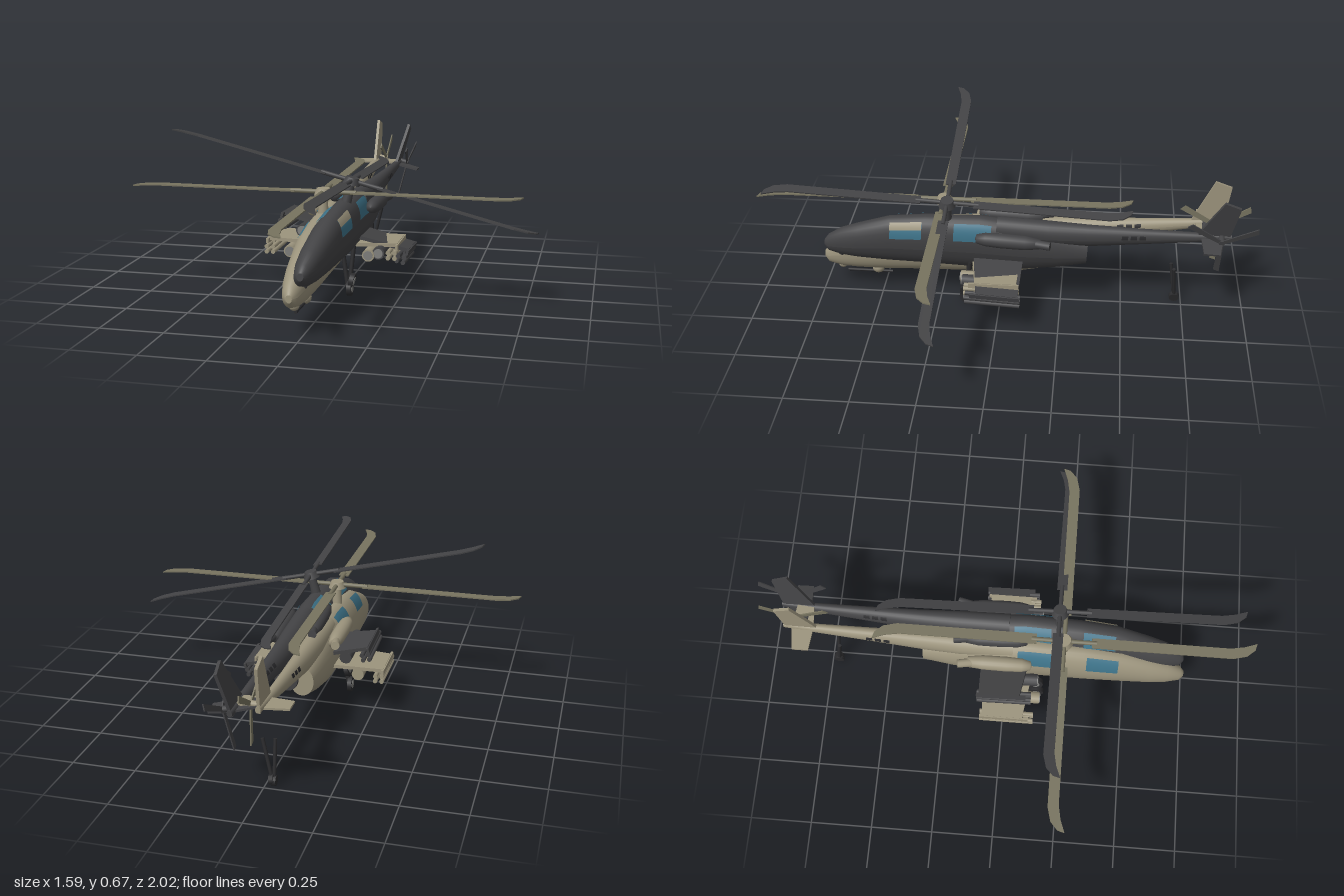
import * as THREE from 'three';

const mat = (name, color) => {
  const m = new THREE.MeshStandardMaterial({ color });
  m.name = name;
  return m;
};
const M = {
  tan: mat('tan paint', 0x9c947d),
  tanBlade: mat('olive blades', 0x77735f),
  dark: mat('charcoal paint', 0x434345),
  darkBlade: mat('charcoal blades', 0x424244),
  glass: mat('blue glass', 0x3d7288),
  black: mat('black rubber', 0x2b2b2d),
  grey: mat('grey metal', 0x7c7c7a),
};

// Hull stations: z, bottom, top, half width
const BODY = [
  [0.742, 0.14, 0.17, 0.012], [0.725, 0.118, 0.198, 0.028], [0.67, 0.104, 0.24, 0.043],
  [0.6, 0.1, 0.272, 0.053], [0.47, 0.1, 0.327, 0.063], [0.32, 0.107, 0.352, 0.07],
  [0.1, 0.11, 0.372, 0.071], [-0.08, 0.12, 0.36, 0.068], [-0.22, 0.15, 0.335, 0.06],
  [-0.34, 0.185, 0.305, 0.047],
];
const BOOM = [
  [0.03, 0.27, 0.376, 0.045], [-0.18, 0.27, 0.378, 0.044], [-0.34, 0.28, 0.379, 0.036],
  [-0.55, 0.315, 0.386, 0.026], [-0.76, 0.352, 0.395, 0.018], [-0.9, 0.375, 0.4, 0.01],
];

// Skin through elliptical stations, over an angle range
function loft(stations, a0 = 0, a1 = Math.PI * 2, off = 0, caps = true, n = 28) {
  const pos = [], idx = [];
  const ring = ([z, b, t, w]) => {
    for (let j = 0; j <= n; j++) {
      const a = a0 + ((a1 - a0) * j) / n;
      pos.push((w + off) * Math.cos(a), (b + t) / 2 + ((t - b) / 2 + off) * Math.sin(a), z);
    }
  };
  stations.forEach(ring);
  for (let i = 0; i < stations.length - 1; i++) {
    for (let j = 0; j < n; j++) {
      const a = i * (n + 1) + j, c = a + n + 1;
      idx.push(a, c, a + 1, a + 1, c, c + 1);
    }
  }
  if (caps) {
    for (const [s, front] of [[stations[0], true], [stations[stations.length - 1], false]]) {
      const base = pos.length / 3;
      ring(s);
      pos.push(0, (s[1] + s[2]) / 2, s[0]);
      for (let j = 0; j < n; j++) {
        idx.push(base + n + 1, base + j + (front ? 0 : 1), base + j + (front ? 1 : 0));
      }
    }
  }
  const g = new THREE.BufferGeometry();
  g.setAttribute('position', new THREE.Float32BufferAttribute(pos, 3));
  g.setIndex(idx);
  g.computeVertexNormals();
  return g;
}

// Thin panel following a hull between two z values and two angles in degrees
function panel(hull, z0, z1, d0, d1) {
  const at = (z) => {
    const i = Math.max(1, hull.findIndex((s) => s[0] <= z));
    const f = (hull[i - 1][0] - z) / (hull[i - 1][0] - hull[i][0]);
    return hull[i].map((v, k) => hull[i - 1][k] + (v - hull[i - 1][k]) * f);
  };
  const mid = hull.filter((s) => s[0] < z0 && s[0] > z1);
  const r = Math.PI / 180;
  return loft([at(z0), ...mid, at(z1)], d0 * r, d1 * r, 0.004, false, 8);
}

function add(parent, name, geo, material, x = 0, y = 0, z = 0) {
  const m = new THREE.Mesh(geo, material);
  m.name = name;
  m.position.set(x, y, z);
  parent.add(m);
  return m;
}

// Rod between two points
function rod(parent, name, a, b, r, material) {
  const p = new THREE.Vector3(...a), q = new THREE.Vector3(...b);
  const d = q.clone().sub(p);
  const m = add(parent, name, new THREE.CylinderGeometry(r, r, d.length(), 12), material);
  m.position.copy(p).addScaledVector(d, 0.5);
  m.quaternion.setFromUnitVectors(new THREE.Vector3(0, 1, 0), d.normalize());
  return m;
}

// Flat plate from an outline, centred on its thickness
function plate(points, depth) {
  const s = new THREE.Shape(points.map((p) => new THREE.Vector2(...p)));
  return new THREE.ExtrudeGeometry(s, { depth, bevelEnabled: false }).translate(0, 0, -depth / 2);
}
// Outline given as (z, y) standing in the side plane
const sidePlate = (points, depth) => plate(points, depth).rotateY(-Math.PI / 2);
// Outline given as (x, z) lying flat
const flatPlate = (points, depth) => plate(points, depth).rotateX(Math.PI / 2);

const ENGINE = [[0, 0.14], [0.018, 0.135], [0.027, 0.1], [0.03, 0.04], [0.029, -0.06], [0.02, -0.12], [0, -0.12]]
  .map(([r, y]) => new THREE.Vector2(r, y)).reverse();

function helicopter(name, paint, bladePaint, rotorScale) {
  const g = new THREE.Group();
  g.name = name;
  add(g, 'fuselage', loft(BODY), paint);
  add(g, 'tailBoom', loft(BOOM), paint);

  // Canopy glass and boom vents on both sides
  for (const [a, b] of [[26, 66], [114, 154]]) {
    add(g, 'frontWindow', panel(BODY, 0.46, 0.33, a, b), M.glass);
    add(g, 'rearWindow', panel(BODY, 0.2, 0.05, a, b), M.glass);
  }
  for (let i = 0; i < 3; i++) {
    const z = -0.47 - i * 0.035;
    add(g, 'vent', panel(BOOM, z, z - 0.025, 10, 35), M.black);
    add(g, 'vent', panel(BOOM, z, z - 0.025, 145, 170), M.black);
  }

  // Main rotor
  const rotor = new THREE.Group();
  rotor.name = 'mainRotor';
  rotor.position.set(0, 0.44, 0.232);
  rotor.scale.set(rotorScale, 1, rotorScale);
  g.add(rotor);
  add(rotor, 'mast', new THREE.CylinderGeometry(0.015, 0.022, 0.1, 16), paint, 0, -0.05, 0);
  add(rotor, 'hub', new THREE.CylinderGeometry(0.026, 0.036, 0.028, 20), paint);
  const blade = flatPlate([[-0.022, 0.11], [0.02, 0.11], [0.02, 0.66], [0.03, 0.715], [0.048, 0.765],
    [0.02, 0.757], [-0.008, 0.725], [-0.022, 0.67]], 0.005);
  for (let i = 0; i < 4; i++) {
    const arm = new THREE.Group();
    arm.name = 'bladeArm';
    arm.rotation.y = (i * Math.PI) / 2;
    rotor.add(arm);
    add(arm, 'blade', blade, bladePaint);
    rod(arm, 'bladeSleeve', [0, 0, 0.02], [0, 0, 0.13], 0.009, bladePaint);
  }

  // Tail surfaces and tail rotor
  add(g, 'fin', sidePlate([[-0.76, 0.38], [-0.89, 0.37], [-0.915, 0.545], [-0.85, 0.568]], 0.012), paint);
  add(g, 'stabilizer', flatPlate([[-0.1, -0.79], [0, -0.78], [0.1, -0.79], [0.1, -0.855], [0, -0.87], [-0.1, -0.855]], 0.008),
    paint, 0, 0.38, 0);
  rod(g, 'tailRotorShaft', [0, 0.39, -0.86], [0.042, 0.39, -0.86], 0.012, paint);
  for (let i = 0; i < 3; i++) {
    const b = add(g, 'tailRotorBlade', sidePlate([[-0.008, 0], [0.008, 0], [0.012, -0.15], [-0.012, -0.158]], 0.005),
      bladePaint, 0.037, 0.39, -0.86);
    b.rotation.x = (i * Math.PI * 2) / 3;
  }

  // Mirrored side equipment
  for (const s of [-1, 1]) {
    add(g, 'engine', new THREE.LatheGeometry(ENGINE, 20).rotateX(Math.PI / 2), paint, s * 0.078, 0.332, -0.03);
    rod(g, 'exhaust', [s * 0.08, 0.335, -0.12], [s * 0.095, 0.342, -0.19], 0.017, paint);
    add(g, 'stubWing', flatPlate([[s * 0.03, 0.12], [s * 0.265, 0.085], [s * 0.265, -0.08], [s * 0.03, -0.085]], 0.014),
      paint, 0, 0.205, 0);
    add(g, 'tipRail', new THREE.BoxGeometry(0.01, 0.02, 0.2), paint, s * 0.265, 0.2, 0.01);
    add(g, 'podPylon', new THREE.BoxGeometry(0.012, 0.03, 0.1), paint, s * 0.16, 0.192, 0.03);
    rod(g, 'rocketPod', [s * 0.16, 0.173, -0.07], [s * 0.16, 0.173, 0.15], 0.025, paint);
    rod(g, 'podFace', [s * 0.16, 0.173, 0.149], [s * 0.16, 0.173, 0.154], 0.019, M.grey);
    add(g, 'missilePylon', new THREE.BoxGeometry(0.008, 0.045, 0.1), paint, s * 0.249, 0.182, 0.02);
    for (const dx of [-0.013, 0.013]) {
      for (const y of [0.182, 0.161]) {
        rod(g, 'missile', [s * 0.249 + dx, y, -0.09], [s * 0.249 + dx, y, 0.13], 0.009, paint);
      }
    }
    // Main landing gear
    rod(g, 'gearStrut', [s * 0.055, 0.17, 0.13], [s * 0.076, 0.035, 0.135], 0.009, M.black);
    rod(g, 'mainWheel', [s * 0.075, 0.032, 0.135], [s * 0.093, 0.032, 0.135], 0.032, M.black);
    rod(g, 'wheelHub', [s * 0.074, 0.032, 0.135], [s * 0.095, 0.032, 0.135], 0.018, M.grey);
  }

  // Tail wheel on its strut
  rod(g, 'tailStrut', [0, 0.18, -0.7], [0, 0.025, -0.72], 0.007, M.black);
  rod(g, 'tailWheel', [-0.009, 0.02, -0.72], [0.009, 0.02, -0.72], 0.02, M.black);

  // Chin turret and gun
  add(g, 'gunTurret', new THREE.SphereGeometry(0.026, 18, 12), paint, 0, 0.1, 0.52);
  rod(g, 'gunBarrel', [0, 0.08, 0.46], [0, 0.08, 0.65], 0.006, M.black);
  add(g, 'sensorBall', new THREE.SphereGeometry(0.02, 16, 10), paint, 0, 0.112, 0.67);
  return g;
}

export function createModel() {
  const model = new THREE.Group();
  model.name = 'helicopterPair';

  const tan = helicopter('tanHelicopter', M.tan, M.tanBlade, 1);
  tan.position.x = -0.032;
  model.add(tan);

  // Second aircraft, banked and pitched about its rotor hub
  const dark = helicopter('charcoalHelicopter', M.dark, M.darkBlade, 0.965);
  add(dark, 'frontWindowUpperPane', panel(BODY, 0.46, 0.33, 47, 68), M.tan).scale.setScalar(1.004);
  dark.position.set(0, -0.44, -0.232);
  const banked = new THREE.Group();
  banked.name = 'bankedAircraft';
  banked.position.set(0.076, 0.483, 0.207);
  banked.rotation.set(-0.054, 0, -0.243);
  banked.add(dark);
  model.add(banked);
  return model;
}
